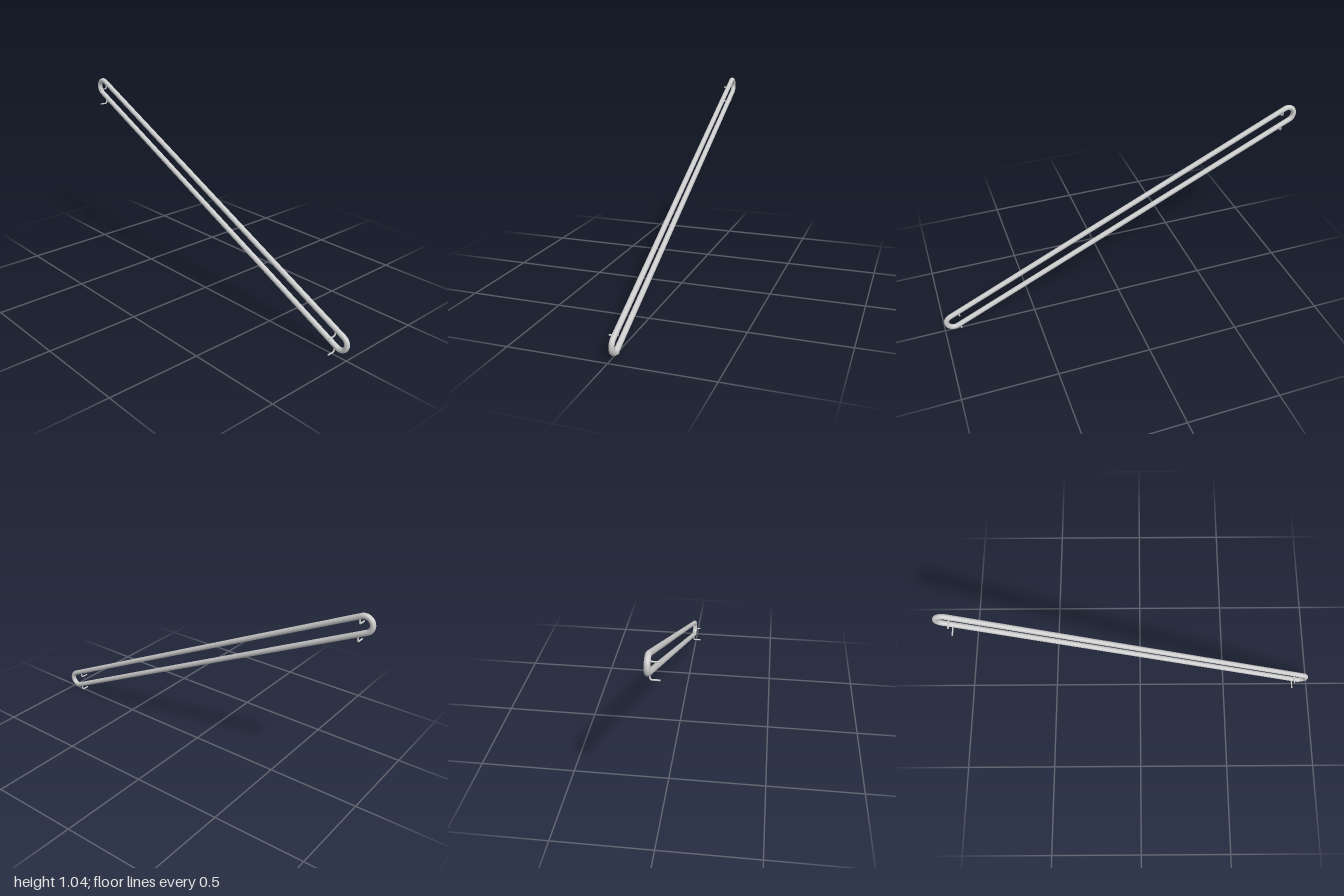
import * as THREE from 'three';

const RAIL_X = 0.015, MID_Y = 0.529;
const END_Z = 0.947, END_RISE = 0.458; // half run and half rise between bend centres
const PIPE_R = 0.0137, BEND_R = 0.0397, ROD_R = 0.004;

export function createModel() {
  const model = new THREE.Group();
  model.name = 'handrail';
  const material = new THREE.MeshStandardMaterial({ color: 0xcccccc });
  const add = (parent, geometry, name) => {
    const mesh = new THREE.Mesh(geometry, material);
    mesh.name = name;
    parent.add(mesh);
    return mesh;
  };

  // Closed pipe loop, laid out along local x and then tilted to the stair slope
  const halfLength = Math.hypot(END_Z, END_RISE);
  const tilt = Math.atan2(END_RISE, END_Z);
  const loop = new THREE.Group();
  loop.name = 'railLoop';
  loop.rotation.set(0, Math.PI / 2, tilt);
  loop.position.set(RAIL_X, MID_Y, 0);
  model.add(loop);

  for (const side of [1, -1]) {
    const bar = add(loop, new THREE.CylinderGeometry(PIPE_R, PIPE_R, halfLength * 2, 24, 1, true),
      side > 0 ? 'upperRail' : 'lowerRail');
    bar.rotation.z = Math.PI / 2;
    bar.position.y = side * BEND_R;

    const bend = add(loop, new THREE.TorusGeometry(BEND_R, PIPE_R, 24, 32, Math.PI),
      side > 0 ? 'topBend' : 'bottomBend');
    bend.rotation.z = -side * Math.PI / 2;
    bend.position.x = side * halfLength;
  }

  // Wall brackets: a thin rod drops from the pipe and turns towards the wall
  const drop = 0.039, fillet = 0.012, reach = RAIL_X + 0.029;
  const v = (x, y) => new THREE.Vector3(x, y, 0);
  const path = new THREE.CurvePath();
  path.add(new THREE.LineCurve3(v(0, 0), v(0, fillet - drop)));
  path.add(new THREE.QuadraticBezierCurve3(v(0, fillet - drop), v(0, -drop), v(-fillet, -drop)));
  path.add(new THREE.LineCurve3(v(-fillet, -drop), v(-reach, -drop)));
  const rodGeometry = new THREE.TubeGeometry(path, 40, ROD_R, 12);
  const capGeometry = new THREE.CircleGeometry(ROD_R, 12).rotateY(-Math.PI / 2);

  const slope = END_RISE / END_Z;
  const offset = BEND_R / Math.cos(tilt); // vertical offset of each bar from the loop's axis
  for (const z of [0.913, -0.923]) {
    for (const side of [1, -1]) {
      const bracket = new THREE.Group();
      bracket.name = (z > 0 ? 'bottom' : 'top') + (side > 0 ? 'Upper' : 'Lower') + 'Bracket';
      bracket.position.set(RAIL_X, MID_Y - z * slope + side * offset, z);
      add(bracket, rodGeometry, 'bracketRod');
      add(bracket, capGeometry, 'bracketEnd').position.set(-reach, -drop, 0);
      model.add(bracket);
    }
  }
  return model;
}
